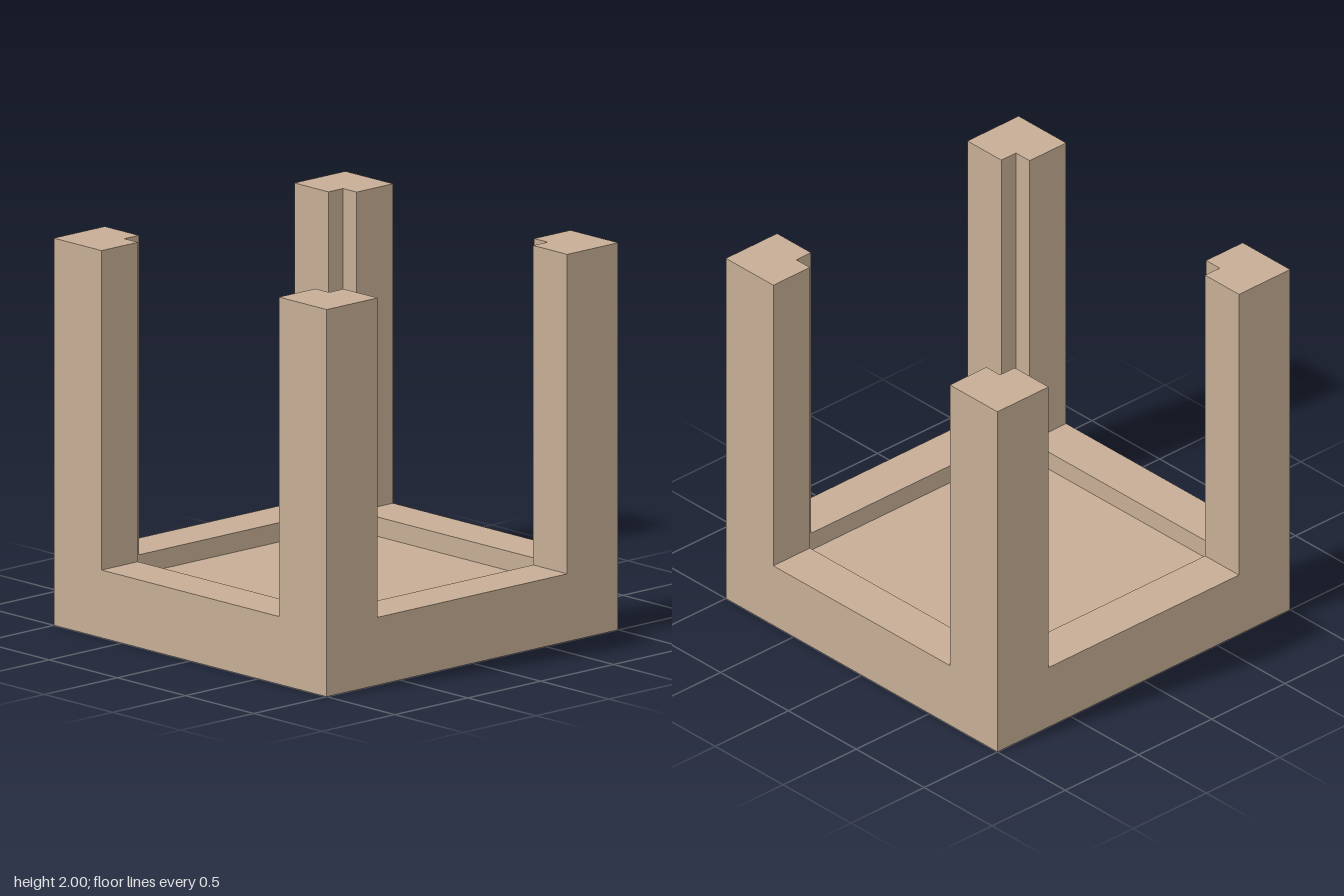
import * as THREE from 'three';

const OUTER = 1;       // half width of the whole frame
const INNER = 0.75;    // half width of the recessed floor
const POST = 0.65;     // where the corner posts end
const FLOOR_Y = 0.25, RIM_Y = 0.35, TOP_Y = 2;

const wood = new THREE.MeshStandardMaterial({ color: 0xc6ad95 });
wood.name = 'tan';

const square = (h) => [[-h, -h], [h, -h], [h, h], [-h, h]].map(([x, y]) => new THREE.Vector2(x, y));

// Extrude a plan outline upwards from y0 to y1
function upright(name, shape, y0, y1) {
  const geometry = new THREE.ExtrudeGeometry(shape, { depth: y1 - y0, bevelEnabled: false });
  geometry.rotateX(-Math.PI / 2).translate(0, y0, 0);
  const mesh = new THREE.Mesh(geometry, wood);
  mesh.name = name;
  return mesh;
}

export function createModel() {
  const model = new THREE.Group();
  model.name = 'openFrameTray';

  // Base slab, whose top is the recessed floor
  model.add(upright('base', new THREE.Shape(square(OUTER)), 0, FLOOR_Y));

  // Low rim around the floor
  const rim = new THREE.Shape(square(OUTER));
  rim.holes.push(new THREE.Path(square(INNER)));
  model.add(upright('rim', rim, FLOOR_Y, RIM_Y));

  // Four L-shaped corner posts
  const corner = new THREE.Shape([
    [POST, OUTER], [POST, INNER], [INNER, INNER], [INNER, POST], [OUTER, POST], [OUTER, OUTER],
  ].map(([x, y]) => new THREE.Vector2(x, y)));
  ['backLeftPost', 'backRightPost', 'frontRightPost', 'frontLeftPost'].forEach((name, i) => {
    const post = upright(name, corner, RIM_Y, TOP_Y);
    post.rotation.y = i * Math.PI / 2;
    model.add(post);
  });

  return model;
}
